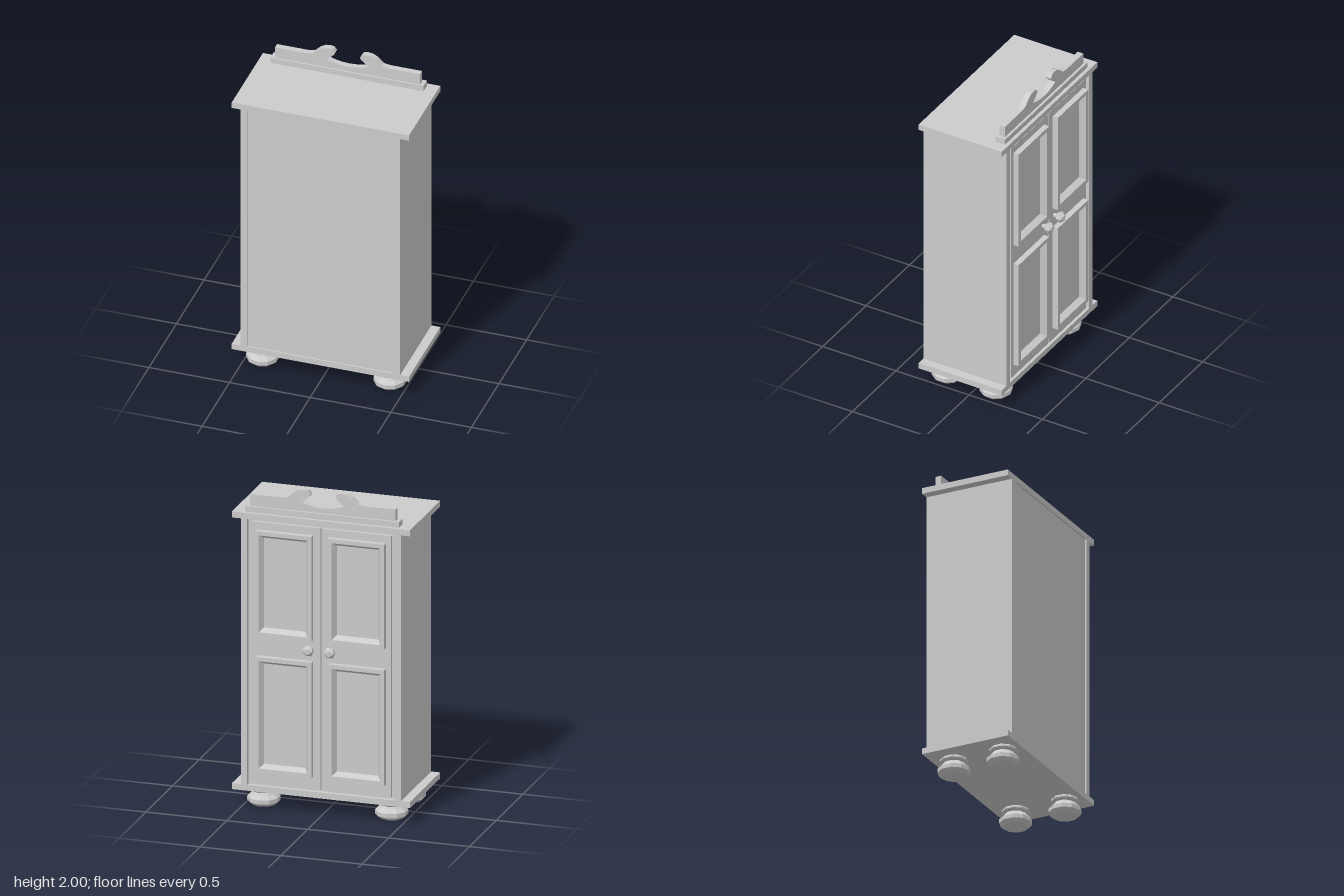
import * as THREE from 'three';

const material = new THREE.MeshStandardMaterial({ color: 0xcccccc, flatShading: true });

function add(parent, name, geometry, x = 0, y = 0, z = 0) {
  const mesh = new THREE.Mesh(geometry, material);
  mesh.name = name;
  mesh.position.set(x, y, z);
  parent.add(mesh);
  return mesh;
}

// Box given by its extents along each axis
function slab(parent, name, [x0, x1], [y0, y1], [z0, z1]) {
  return add(parent, name, new THREE.BoxGeometry(x1 - x0, y1 - y0, z1 - z0),
    (x0 + x1) / 2, (y0 + y1) / 2, (z0 + z1) / 2);
}

// Mitred frame: cross-section loops swept around a rectangle.
// Each loop is [inset from the outer edge, z].
function frameGeometry(w, h, loops) {
  const positions = [];
  const corner = ([inset, z], i) => {
    const sx = [-1, 1, 1, -1][i % 4], sy = [-1, -1, 1, 1][i % 4];
    return [sx * (w / 2 - inset), sy * (h / 2 - inset), z];
  };
  for (let k = 0; k < loops.length - 1; k++) {
    for (let i = 0; i < 4; i++) {
      const a = corner(loops[k], i), b = corner(loops[k], i + 1);
      const c = corner(loops[k + 1], i + 1), d = corner(loops[k + 1], i);
      positions.push(...a, ...d, ...c, ...a, ...c, ...b);
    }
  }
  const geometry = new THREE.BufferGeometry();
  geometry.setAttribute('position', new THREE.Float32BufferAttribute(positions, 3));
  geometry.computeVertexNormals();
  return geometry;
}

// Scrolled crest with a split, swan-neck outline
function crestGeometry(depth) {
  const half = [
    [0.45, 1.867], [0.45, 1.938], [0.257, 1.938], [0.214, 1.945], [0.18, 1.978],
    [0.146, 1.997], [0.115, 2.0], [0.093, 1.997], [0.077, 1.976], [0.085, 1.96],
    [0.13, 1.922], [0.095, 1.91], [0.05, 1.9],
  ];
  const points = [...half, [0, 1.897], ...half.map(([x, y]) => [-x, y]).reverse()];
  const shape = new THREE.Shape(points.map(([x, y]) => new THREE.Vector2(x, y)));
  return new THREE.ExtrudeGeometry(shape, { depth, bevelEnabled: false });
}

export function createModel() {
  const model = new THREE.Group();
  model.name = 'cupboard';
  const depth = [-0.252, 0.315];

  // Carcass: overhanging boards, side walls, recessed core that closes the rear
  slab(model, 'baseBoard', [-0.55, 0.55], [0.11, 0.147], depth);
  slab(model, 'topBoard', [-0.55, 0.55], [1.795, 1.832], depth);
  for (const s of [-1, 1]) {
    slab(model, 'sideWall', s < 0 ? [-0.495, -0.455] : [0.455, 0.495], [0.147, 1.795], depth);
  }
  slab(model, 'rearPanel', [-0.455, 0.455], [0.147, 1.795], [-0.225, 0.305]);

  // Doors with two moulded panels and a faceted knob each
  const moulding = [[0, -0.24], [0, -0.279], [0.025, -0.279], [0.047, -0.244]];
  for (const s of [-1, 1]) {
    const door = new THREE.Group();
    door.name = s < 0 ? 'rightDoor' : 'leftDoor';
    model.add(door);
    slab(door, 'doorLeaf', s < 0 ? [-0.432, -0.004] : [0.004, 0.432], [0.16, 1.782], [-0.244, -0.22]);
    for (const [y0, y1] of [[0.24, 0.955], [1.085, 1.735]]) {
      add(door, 'panelMoulding', frameGeometry(0.35, y1 - y0, moulding), s * 0.225, (y0 + y1) / 2, 0);
    }
    const stem = add(door, 'knobStem', new THREE.CylinderGeometry(0.013, 0.013, 0.04, 6), s * 0.066, 1.03, -0.258);
    stem.rotation.x = Math.PI / 2;
    const knob = add(door, 'knob', new THREE.IcosahedronGeometry(0.036, 0), s * 0.066, 1.03, -0.289);
    knob.scale.z = 0.85;
  }

  // Crest on its plinth
  slab(model, 'crestPlinth', [-0.475, 0.475], [1.832, 1.867], [-0.23, -0.166]);
  add(model, 'crest', crestGeometry(0.038), 0, 0, -0.215);

  // Turned bun feet
  const profile = [
    [0, 0], [0.075, 0], [0.098, 0.02], [0.098, 0.045], [0.075, 0.066], [0.065, 0.08],
    [0.076, 0.084], [0.084, 0.092], [0.084, 0.101], [0.076, 0.11], [0, 0.11],
  ].map(([r, y]) => new THREE.Vector2(r, y));
  const footGeometry = new THREE.LatheGeometry(profile, 10);
  for (const x of [-0.395, 0.395]) {
    for (const z of [-0.122, 0.204]) add(model, 'foot', footGeometry, x, 0, z);
  }
  return model;
}
